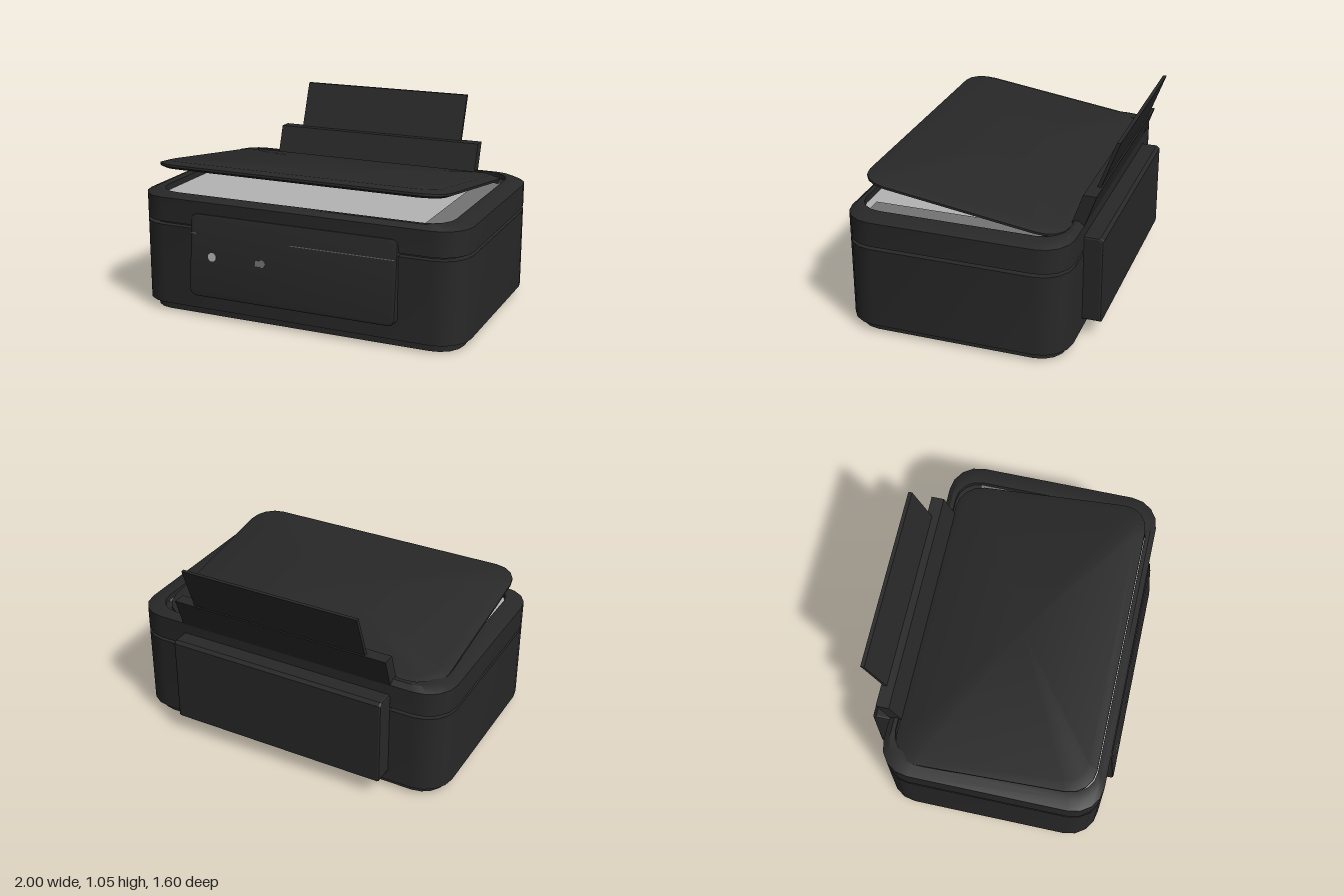
import * as THREE from 'three';
import { toCreasedNormals } from 'three/addons/utils/BufferGeometryUtils.js';

const mat = (name, color) => {
  const m = new THREE.MeshStandardMaterial({ color });
  m.name = name;
  return m;
};

// Rounded-rectangle loop, counter-clockwise seen from above
function loop([hx, hz, r, y], seg = 4) {
  const pts = [];
  const signs = [[1, 1], [-1, 1], [-1, -1], [1, -1]];
  signs.forEach(([sx, sz], q) => {
    for (let i = 0; i <= seg; i++) {
      const a = (q + i / seg) * Math.PI / 2;
      pts.push([sx * (hx - r) + r * Math.cos(a), y, -(sz * (hz - r) + r * Math.sin(a))]);
    }
  });
  return pts;
}

// Skin through rounded rectangles given as [halfX, halfZ, radius, y]
function loft(profile) {
  const loops = profile.map((p) => loop(p));
  const n = loops[0].length;
  const pos = [];
  const index = [];
  loops.forEach((l) => l.forEach((p) => pos.push(...p)));
  for (let i = 0; i < loops.length - 1; i++) {
    for (let j = 0; j < n; j++) {
      const k = (j + 1) % n;
      const a = i * n + j, b = i * n + k, c = b + n, d = a + n;
      index.push(a, b, c, a, c, d);
    }
  }
  const g = new THREE.BufferGeometry();
  g.setAttribute('position', new THREE.Float32BufferAttribute(pos, 3));
  g.setIndex(index);
  return toCreasedNormals(g, 0.5);
}

// Solid rounded plate
const plate = (hx, hz, r, y0, y1) => loft([
  [0, 0, 0, y0], [hx, hz, r, y0], [hx, hz, r, y1], [0, 0, 0, y1],
]);

// Side outline in (z, y) extruded across x
function slab(points, width, bevel = 0) {
  const shape = new THREE.Shape(points.map(([z, y]) => new THREE.Vector2(z, y)));
  const depth = width - 2 * bevel;
  const g = new THREE.ExtrudeGeometry(shape, {
    depth, bevelEnabled: bevel > 0, bevelSize: bevel, bevelThickness: bevel,
    bevelOffset: -bevel, bevelSegments: 2,
  });
  g.translate(0, 0, -depth / 2).rotateY(-Math.PI / 2);
  return g;
}

function roundedShape(w, h, r) {
  const s = new THREE.Shape();
  const x = w / 2 - r, y = h / 2 - r;
  s.absarc(x, y, r, 0, Math.PI / 2);
  s.absarc(-x, y, r, Math.PI / 2, Math.PI);
  s.absarc(-x, -y, r, Math.PI, Math.PI * 1.5);
  s.absarc(x, -y, r, Math.PI * 1.5, Math.PI * 2);
  s.closePath();
  return s;
}

export function createModel() {
  const black = mat('black plastic', 0x282828);
  const light = mat('light scan bed', 0xb4b4b4);
  const grey = mat('grey trim', 0x747474);

  const model = new THREE.Group();
  model.name = 'printer';
  const add = (parent, name, geo, material, x = 0, y = 0, z = 0) => {
    const m = new THREE.Mesh(geo, material);
    m.name = name;
    m.position.set(x, y, z);
    parent.add(m);
    return m;
  };

  // The whole machine stands turned on its base
  const body = new THREE.Group();
  body.name = 'body';
  body.position.z = 0.038;
  body.rotation.y = -0.232;
  model.add(body);

  // Hollow case: plinth, lower shell, groove, chamfered rim, recess, inner wall
  add(body, 'case', loft([
    [0.87, 0.543, 0.12, 0],
    [0.886, 0.56, 0.135, 0],
    [0.886, 0.56, 0.135, 0.045],
    [0.925, 0.597, 0.165, 0.045],
    [0.925, 0.597, 0.165, 0.487],
    [0.886, 0.56, 0.135, 0.487],
    [0.886, 0.56, 0.135, 0.505],
    [0.925, 0.597, 0.165, 0.505],
    [0.925, 0.597, 0.165, 0.638],
    [0.87, 0.568, 0.14, 0.66],
    [0.825, 0.546, 0.13, 0.66],
    [0.825, 0.546, 0.13, 0.6],
    [0.8, 0.49, 0.12, 0.6],
    [0.8, 0.49, 0.12, 0.475],
    [0.87, 0.543, 0.12, 0.475],
    [0.87, 0.543, 0.12, 0],
  ]), black);

  // Scan bed with grey right side and dark back edge, closed off underneath
  add(body, 'bedUnderside', plate(0.8, 0.49, 0.12, 0.487, 0.5), black);
  add(body, 'scanBed', plate(0.825, 0.546, 0.13, 0.612, 0.627), light);
  add(body, 'bedSideStrip', new THREE.BoxGeometry(0.15, 0.006, 0.96), grey, 0.752, 0.628, 0.02);
  add(body, 'bedBackStrip', new THREE.BoxGeometry(1.66, 0.006, 0.13), black, 0, 0.63, -0.49);

  // Raised lid, hinged at the back
  const lid = add(body, 'lid', loft([
    [0, 0, 0, 0],
    [0.8, 0.52, 0.12, 0],
    [0.828, 0.544, 0.14, 0.012],
    [0.828, 0.544, 0.14, 0.024],
    [0.778, 0.5, 0.11, 0.04],
    [0, 0, 0, 0.04],
  ]), black, -0.033, 0.7, 0.004);
  lid.rotation.x = -0.147;

  // Tilted control panel, bottom edge standing proud
  const panel = new THREE.Group();
  panel.name = 'controlPanel';
  panel.position.set(0.004, 0.352, 0.624);
  panel.rotation.x = -0.09;
  body.add(panel);
  const panelGeo = new THREE.ExtrudeGeometry(roundedShape(1.172, 0.447, 0.04), {
    depth: 0.13, bevelSize: 0.01, bevelThickness: 0.01, bevelOffset: -0.01,
    bevelSegments: 2, curveSegments: 5,
  });
  add(panel, 'panelSlab', toCreasedNormals(panelGeo, 0.5), black, 0, 0, -0.14);

  // Painted details on the panel
  const dot = (r) => new THREE.CylinderGeometry(r, r, 0.004, 12).rotateX(Math.PI / 2);
  add(panel, 'powerButton', dot(0.024), light, -0.452, 0, 0.001);
  add(panel, 'modeButton', dot(0.02), grey, -0.158, 0.002, 0.001);
  add(panel, 'modeButtonTab', new THREE.BoxGeometry(0.024, 0.03, 0.004), grey, -0.185, 0, 0.001);
  add(panel, 'panelLine', new THREE.BoxGeometry(0.58, 0.004, 0.003), grey, 0.285, 0.118, 0.001);
  add(panel, 'panelLineEnd', new THREE.BoxGeometry(0.035, 0.004, 0.003), grey, -0.56, 0.118, 0.001);

  // Rear housing
  add(body, 'rearHousing', slab(
    [[-0.56, 0.1], [-0.698, 0.1], [-0.698, 0.565], [-0.68, 0.58], [-0.56, 0.58]], 1.24, 0.012,
  ), black, -0.011);

  // Leaning paper feed and paper support
  add(body, 'paperFeed', slab(
    [[-0.515, 0.6], [-0.585, 0.6], [-0.656, 0.805], [-0.586, 0.805]], 1.24,
  ), black, -0.011);
  add(body, 'paperSupport', slab(
    [[-0.587, 0.7], [-0.607, 0.7], [-0.739, 1.055], [-0.719, 1.055]], 1.006,
  ), black, -0.01);

  return model;
}
